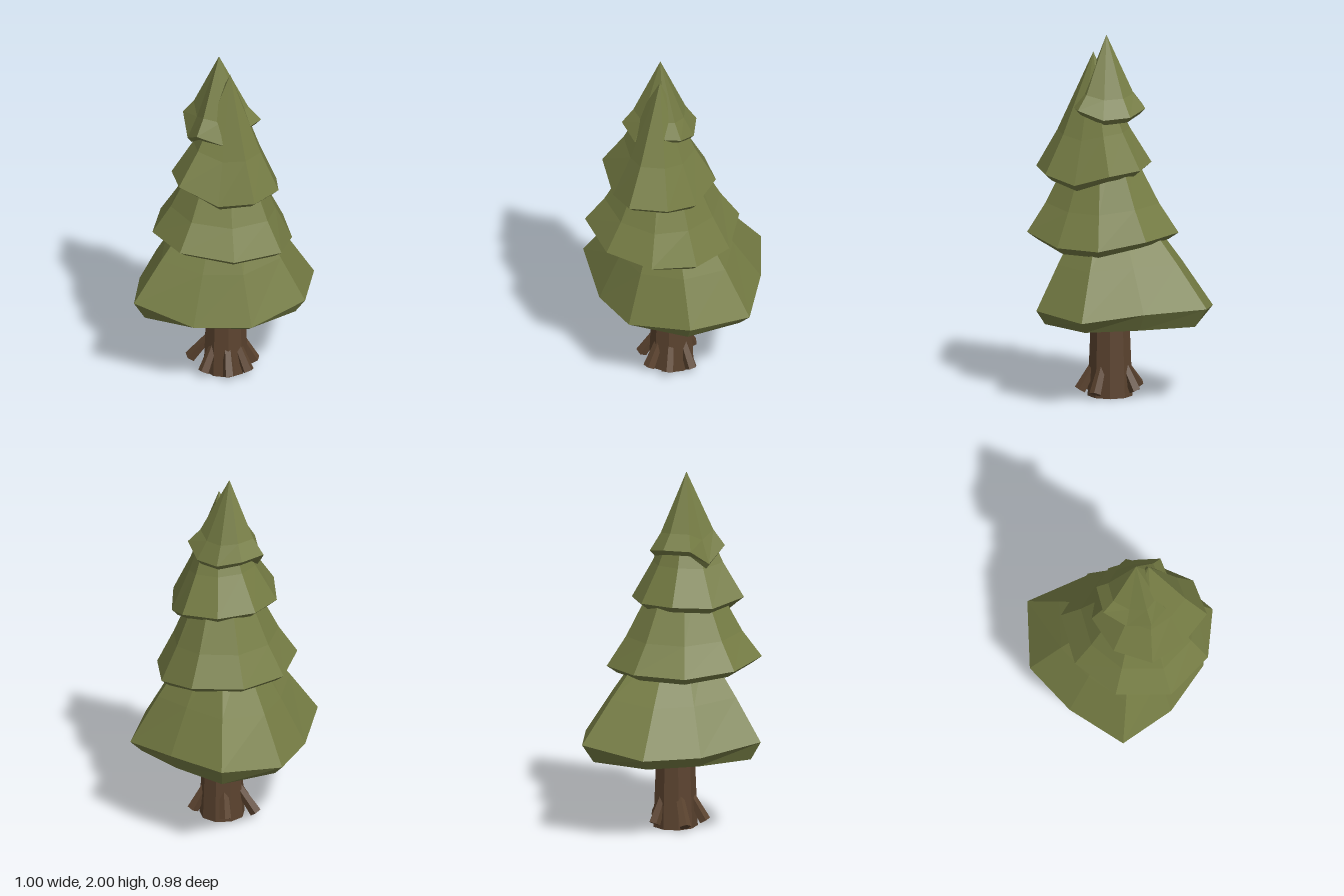
import * as THREE from 'three';

const foliage = new THREE.MeshStandardMaterial({ color: 0x757c44, flatShading: true });
foliage.name = 'mossGreen';
const bark = new THREE.MeshStandardMaterial({ color: 0x5b432f, flatShading: true });
bark.name = 'barkBrown';

// Faceted skin through rings of points, ordered bottom to top
function loft(rings) {
  const pos = [];
  const area = new THREE.Triangle();
  const tri = (a, b, c) => {
    area.set(a, b, c);
    if (area.getArea() > 1e-7) for (const p of [a, b, c]) pos.push(p.x, p.y, p.z);
  };
  for (let r = 0; r < rings.length - 1; r++) {
    const lo = rings[r], hi = rings[r + 1], n = lo.length;
    for (let i = 0; i < n; i++) {
      const j = (i + 1) % n;
      tri(lo[i], hi[i], lo[j]);
      tri(lo[j], hi[i], hi[j]);
    }
  }
  const g = new THREE.BufferGeometry();
  g.setAttribute('position', new THREE.Float32BufferAttribute(pos, 3));
  g.computeVertexNormals();
  return g;
}

// One skirt of branches: a ragged rim, a bevelled underside and a flared cone above
function branchTier({ name, rim, apex, mid, top, drop, keep = 1, inset = 0.87 }) {
  const [ax, ay, az] = apex;
  const avg = rim.reduce((s, p) => s + p[1], 0) / rim.length;
  const ring = (f, yOf) => rim.map(([x, y, z]) =>
    new THREE.Vector3(ax + (x - ax) * f, yOf(y), az + (z - az) * f));
  const under = (y) => avg - drop + keep * (y - avg);
  const rings = [
    ring(0, () => avg - drop * 0.7),
    ring(inset, under),
    ring(1, (y) => y),
    ring(mid[0], (y) => mid[1] + (y - avg) * 0.5),
  ];
  if (top) rings.push(ring(top[0], () => top[1]));
  rings.push(ring(0, () => ay));
  const mesh = new THREE.Mesh(loft(rings), foliage);
  mesh.name = name;
  return mesh;
}

const tiers = [
  {
    name: 'bottomBranches', apex: [0.04, 1.2, 0.03], mid: [0.7, 0.76], top: [0.32, 1.05],
    drop: 0.07, keep: 0.1, inset: 0.88,
    rim: [[-0.34, 0.55, -0.49], [0.02, 0.54, -0.475], [0.355, 0.5, -0.4], [0.497, 0.52, -0.07],
      [0.355, 0.47, 0.26], [0.075, 0.46, 0.41], [-0.26, 0.55, 0.485], [-0.42, 0.5, 0.16], [-0.5, 0.5, -0.155]],
  },
  {
    name: 'lowerBranches', apex: [0.07, 1.6, 0.06], mid: [0.75, 1.08], top: [0.3, 1.45], drop: 0.04,
    rim: [[0.473, 0.92, 0.14], [0.318, 0.93, 0.38], [0.035, 0.96, 0.487], [-0.23, 0.94, 0.34],
      [-0.34, 0.92, 0.07], [-0.28, 0.93, -0.21], [-0.035, 0.92, -0.36], [0.22, 0.87, -0.295], [0.39, 0.87, -0.11]],
  },
  {
    name: 'upperBranches', apex: [0.11, 1.91, 0.08], mid: [0.63, 1.47], drop: 0.035,
    rim: [[0.4, 1.25, 0.05], [0.375, 1.26, 0.26], [0.19, 1.225, 0.34], [-0.03, 1.31, 0.39],
      [-0.18, 1.28, 0.22], [-0.2, 1.29, 0], [-0.07, 1.28, -0.17], [0.13, 1.27, -0.225], [0.29, 1.21, -0.11]],
  },
  {
    name: 'topBranches', apex: [0.035, 2, 0.075], mid: [0.7, 1.67], drop: 0.03,
    rim: [[-0.18, 1.6, 0.1], [-0.145, 1.6, -0.05], [-0.03, 1.57, -0.125], [0.12, 1.56, -0.105],
      [0.24, 1.61, -0.03], [0.23, 1.61, 0.06], [0.14, 1.54, 0.22], [0.02, 1.59, 0.285], [-0.09, 1.51, 0.2]],
  },
];

// Tapered five-sided root running from inside the trunk down to its tip
function root(tip, centre) {
  const end = new THREE.Vector3(...tip);
  const out = new THREE.Vector3(end.x - centre.x, 0, end.z - centre.z).normalize();
  const start = centre.clone().addScaledVector(out, 0.07).setY(0.21);
  const dir = start.clone().sub(end);
  const mesh = new THREE.Mesh(new THREE.CylinderGeometry(0.022, 0.034, dir.length(), 5), bark);
  mesh.position.copy(start).add(end).multiplyScalar(0.5);
  mesh.quaternion.setFromUnitVectors(new THREE.Vector3(0, 1, 0), dir.normalize());
  mesh.name = 'root';
  return mesh;
}

export function createModel() {
  const tree = new THREE.Group();
  tree.name = 'pineTree';

  // Trunk
  const centre = new THREE.Vector3(0.037, 0, 0.012);
  const trunk = new THREE.Mesh(new THREE.CylinderGeometry(0.1, 0.125, 0.6, 9), bark);
  trunk.position.set(centre.x, 0.305, centre.z);
  trunk.name = 'trunk';
  tree.add(trunk);

  // Roots
  const roots = new THREE.Group();
  roots.name = 'roots';
  const tips = [[0.2, 0.04, 0.04], [0.16, 0.035, -0.09], [0, 0.04, 0.175],
    [-0.15, 0.04, 0.07], [-0.07, 0.04, -0.1], [0.14, 0.035, 0.14]];
  for (const t of tips) roots.add(root(t, centre));
  tree.add(roots);

  // Foliage
  for (const t of tiers) tree.add(branchTier(t));
  return tree;
}
